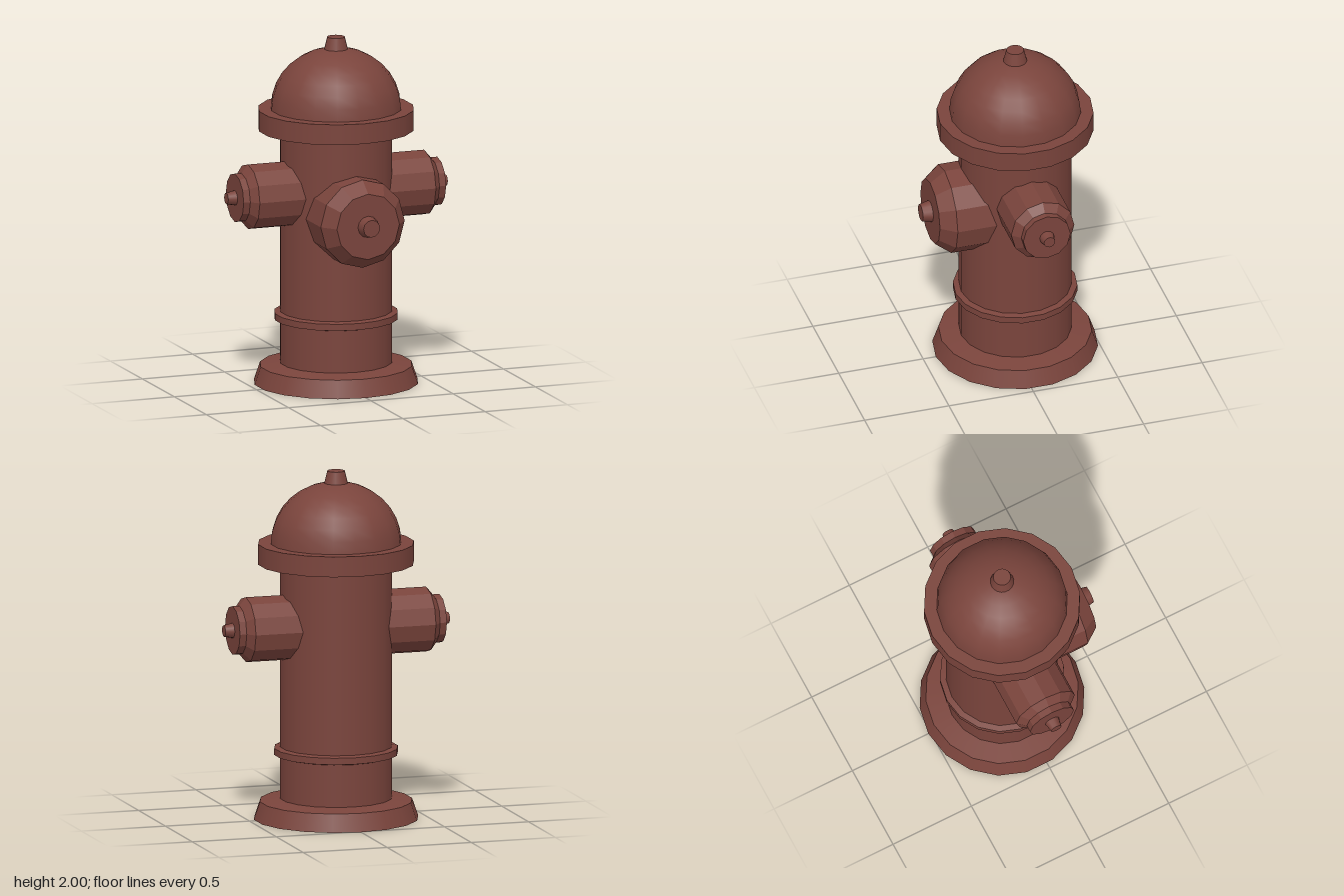
import * as THREE from 'three';

const SIDES = 18, NOZZLE_SIDES = 12;
const paint = new THREE.MeshStandardMaterial({ color: 0x7a443c });
paint.name = 'oxide red paint';

// Stack of frusta along +y from [radius, height] pairs; edges between rings stay sharp
function stack(name, rings, sides, flat) {
  const group = new THREE.Group();
  group.name = name;
  for (let i = 0; i < rings.length - 1; i++) {
    const [r0, y0] = rings[i], [r1, y1] = rings[i + 1];
    let geo = new THREE.CylinderGeometry(r1, r0, y1 - y0, sides);
    geo.translate(0, (y0 + y1) / 2, 0);
    if (flat) {
      geo = geo.toNonIndexed();
      geo.computeVertexNormals();
    }
    const mesh = new THREE.Mesh(geo, paint);
    mesh.name = name + 'Section' + (i + 1);
    group.add(mesh);
  }
  return group;
}

// Outlet with a bevelled cap and a tapered nut, built along +y
function outlet(name, capRings, nutRings) {
  const group = new THREE.Group();
  group.name = name;
  group.add(stack('outletCap', capRings, NOZZLE_SIDES, true));
  group.add(stack('outletNut', nutRings, NOZZLE_SIDES, false));
  return group;
}

export function createModel() {
  const model = new THREE.Group();
  model.name = 'fireHydrant';
  const column = new THREE.Group();
  column.name = 'column';
  column.position.z = -0.045;
  model.add(column);

  // Foot, barrel, band and flange
  column.add(stack('base', [[0.47, 0], [0.435, 0.102], [0.32, 0.118]], SIDES));
  column.add(stack('barrel', [[0.32, 0.1], [0.32, 1.48]], SIDES));
  column.add(stack('band', [[0.32, 0.362], [0.353, 0.37], [0.353, 0.408], [0.32, 0.416]], SIDES));
  column.add(stack('flange', [[0.445, 1.469], [0.445, 1.586]], SIDES));

  // Domed bonnet
  const profile = [];
  for (let i = 0; i <= 8; i++) {
    const a = (i / 8) * Math.PI / 2;
    profile.push(new THREE.Vector2(i === 8 ? 0 : 0.373 * Math.cos(a), 1.586 + 0.35 * Math.sin(a)));
  }
  const bonnet = new THREE.Mesh(new THREE.LatheGeometry(profile, SIDES), paint);
  bonnet.name = 'bonnet';
  column.add(bonnet);
  column.add(stack('topNut', [[0.072, 1.91], [0.05, 2.0]], SIDES));

  // Side outlets, mirrored
  for (const side of [1, -1]) {
    const arm = outlet(side > 0 ? 'leftOutlet' : 'rightOutlet',
      [[0.187, 0.1], [0.187, 0.535], [0.14, 0.575], [0.14, 0.615]],
      [[0.046, 0.6], [0.033, 0.667]]);
    arm.rotation.z = -side * Math.PI / 2;
    arm.position.y = 1.114;
    column.add(arm);
  }

  // Large front outlet
  const front = outlet('frontOutlet',
    [[0.255, 0], [0.255, 0.372], [0.19, 0.458]],
    [[0.066, 0.44], [0.05, 0.515]]);
  front.rotation.x = Math.PI / 2;
  front.position.y = 1.0;
  model.add(front);

  return model;
}
